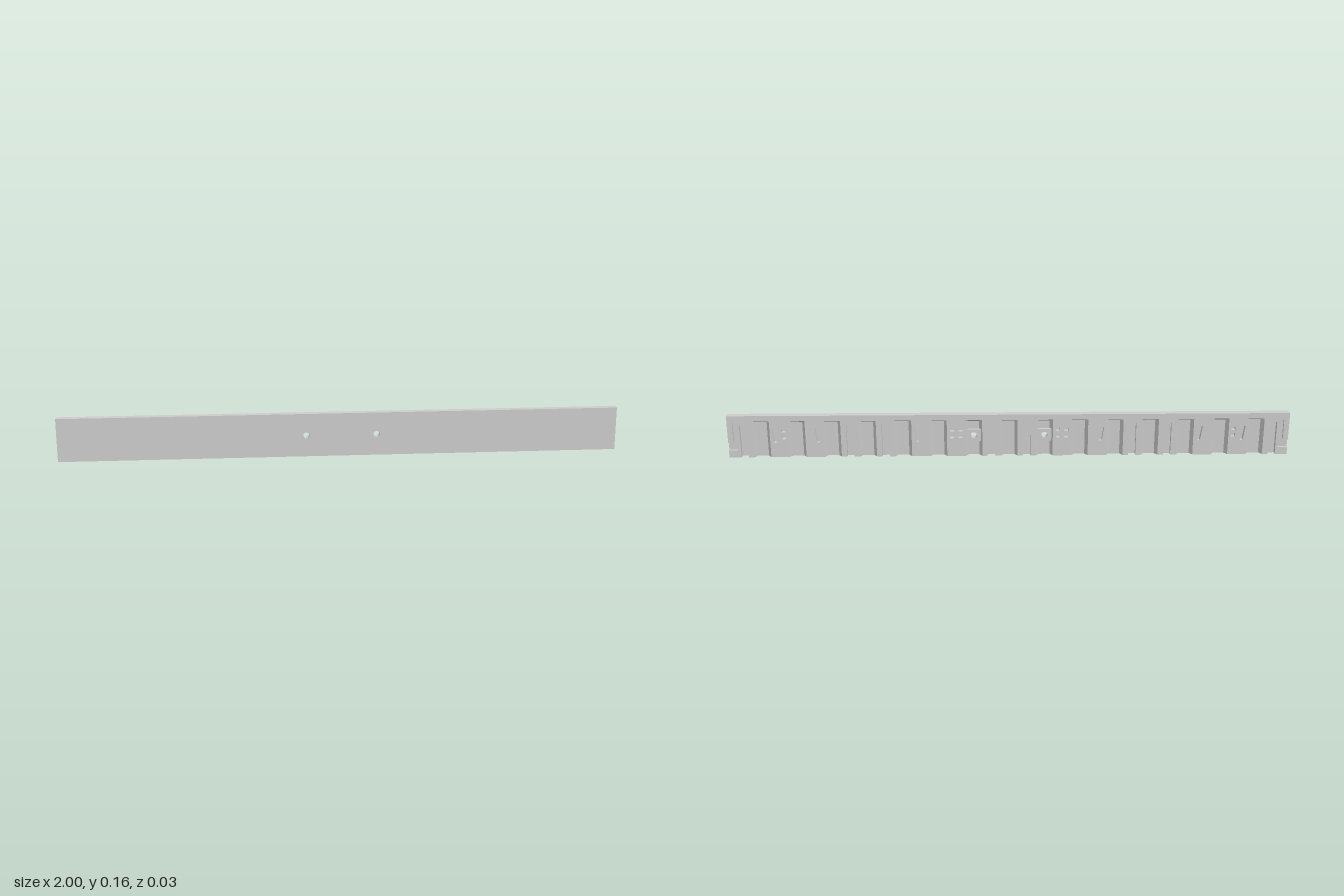
import * as THREE from 'three';

const HEIGHT = 0.156, PITCH = 0.1258, FACE = 0.013, FLOOR = 0.003, BACK = -0.013;
const material = new THREE.MeshStandardMaterial({ color: 0xcccccc, flatShading: true });

const polygon = (pts) => new THREE.Shape(pts.map(([x, y]) => new THREE.Vector2(x, y)));

function rect(x0, x1, y0, y1) {
  return polygon([[x0, y0], [x1, y0], [x1, y1], [x0, y1]]);
}

function roundHole(x, y, r) {
  const hole = new THREE.Path();
  hole.absarc(x, y, r, 0, Math.PI * 2, true);
  return hole;
}

// Extrudes an xy outline between two depths
function slab(shape, z0, z1) {
  const g = new THREE.ExtrudeGeometry(shape, { depth: z1 - z0, bevelEnabled: false, curveSegments: 10 });
  return g.translate(0, 0, z0);
}

// Teardrop pocket: round top tapering to a narrow foot
function keyhole(x) {
  const p = new THREE.Path();
  p.moveTo(x - 0.004, 0.055);
  p.lineTo(x - 0.011, 0.103);
  p.absarc(x, 0.103, 0.011, Math.PI, 0, true);
  p.lineTo(x + 0.004, 0.055);
  p.closePath();
  return p;
}

export function createModel() {
  const group = new THREE.Group();
  group.name = 'strip';
  const add = (name, geometry) => {
    const mesh = new THREE.Mesh(geometry, material);
    mesh.name = name;
    group.add(mesh);
  };

  // Smooth front plate with two screw holes
  const plate = rect(-1, 1, 0, HEIGHT);
  for (const s of [-1, 1]) plate.holes.push(roundHole(s * PITCH, 0.077, 0.011));
  add('frontPlate', slab(plate, FLOOR, FACE));

  // Channels open at the bottom: wide ones on every pitch, narrow ones in some gaps
  const channels = [];
  for (let i = -7; i <= 7; i++) channels.push({ x: i * PITCH, half: 0.03, top: 0.136 });
  for (const gap of [0.5, 3.5, 4.5, 7.5]) {
    for (const s of [-1, 1]) channels.push({ x: s * gap * PITCH, half: 0.013, top: 0.122 });
  }
  channels.sort((a, b) => a.x - b.x);

  // Outline of the rib layer, with a hooked slot at each end
  const outline = [[-1, 0]];
  for (const { x, half, top } of channels) {
    outline.push([x - half, 0], [x - half, top], [x + half, top], [x + half, 0]);
  }
  const end = [[1, 0], [1, 0.027], [0.966, 0.027], [0.966, 0.13], [0.981, 0.13],
    [0.981, 0.056], [1, 0.056], [1, HEIGHT]];
  outline.push(...end, ...end.slice(1).reverse().map(([x, y]) => [-x, y]));
  const ribs = polygon(outline);

  // Keyholes and small square pockets in the remaining gaps
  for (const s of [-1, 1]) {
    for (const gap of [2.6, 5.4, 6.62]) ribs.holes.push(keyhole(s * gap * PITCH));
    for (const x of [1.38, 1.62, 6.37]) {
      for (const y of [0.075, 0.1]) {
        const c = s * x * PITCH, r = 0.007;
        ribs.holes.push(new THREE.Path([[-r, -r], [-r, r], [r, r], [r, -r]]
          .map(([dx, dy]) => new THREE.Vector2(c + dx, y + dy))));
      }
    }
  }

  // Slope the walls of the wide channels inward towards their floor
  const ribGeometry = slab(ribs, BACK, FLOOR);
  const pos = ribGeometry.attributes.position;
  for (let i = 0; i < pos.count; i++) {
    if (pos.getZ(i) < FLOOR - 0.001) continue;
    const x = pos.getX(i), centre = Math.round(x / PITCH) * PITCH;
    if (Math.abs(x - centre) < 0.0305 && Math.abs(Math.abs(x - centre) - 0.03) < 0.0005 && Math.abs(centre) < 0.95) {
      const y = pos.getY(i);
      if (y < 0.001 || Math.abs(y - 0.136) < 0.001) {
        pos.setX(i, centre + (x - centre) * 0.64);
        if (y > 0.1) pos.setY(i, y - 0.008);
      }
    }
  }
  ribGeometry.computeVertexNormals();
  add('backRibs', ribGeometry);

  for (const s of [-1, 1]) {
    // Raised floor of the end slot
    const x0 = s > 0 ? 0.966 : -1;
    add('endSlotFloor', slab(rect(x0, x0 + 0.034, 0.027, 0.13), -0.004, FLOOR));

    // Pad around each screw hole
    const pad = rect(s * PITCH - 0.025, s * PITCH + 0.025, 0.055, 0.099);
    pad.holes.push(roundHole(s * PITCH, 0.077, 0.011));
    add('screwPad', slab(pad, -0.007, FLOOR));
  }
  return group;
}
